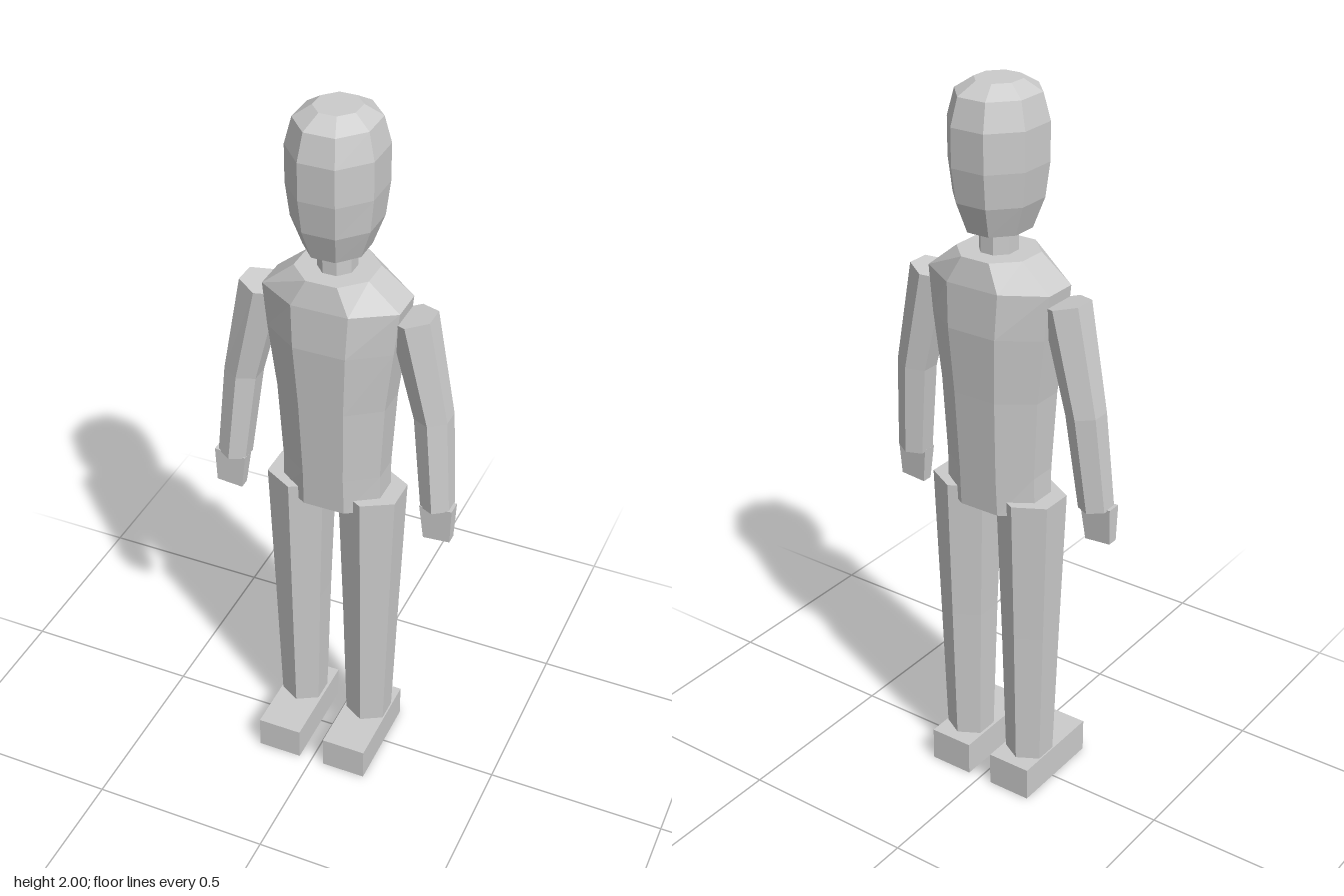
import * as THREE from 'three';

const material = new THREE.MeshStandardMaterial({ color: 0xcccccc, flatShading: true });

// Closed loft through n-sided rings listed bottom to top, with flat faces towards +x and -x.
// Ring: { y, rx, rz, x, z, tilt }, where rx and rz are half sizes to the flats
// and tilt raises the ring along x.
function loft(name, n, rings) {
  const loops = rings.map(({ y, rx, rz, x = 0, z = -0.03, tilt = 0 }) => {
    const points = [];
    for (let i = 0; i < n; i++) {
      const a = ((2 * i + 1) * Math.PI) / n;
      const k = 1 / Math.cos(Math.PI / n);
      const dx = Math.cos(a) * rx * k;
      points.push([x + dx, y + tilt * dx, z + Math.sin(a) * rz * k]);
    }
    return { points, centre: [x, y, z] };
  });
  const out = [];
  const tri = (a, b, c) => out.push(...a, ...b, ...c);
  const bottom = loops[0];
  const top = loops[loops.length - 1];
  for (let i = 0; i < n; i++) {
    const j = (i + 1) % n;
    for (let r = 0; r + 1 < loops.length; r++) {
      const lo = loops[r].points;
      const hi = loops[r + 1].points;
      tri(lo[i], hi[i], lo[j]);
      tri(hi[i], hi[j], lo[j]);
    }
    tri(bottom.centre, bottom.points[i], bottom.points[j]);
    tri(top.centre, top.points[j], top.points[i]);
  }
  const geometry = new THREE.BufferGeometry();
  geometry.setAttribute('position', new THREE.Float32BufferAttribute(out, 3));
  geometry.computeVertexNormals();
  const mesh = new THREE.Mesh(geometry, material);
  mesh.name = name;
  return mesh;
}

// Arm: hexagonal upper arm and forearm with a thin tapered hand
function createArm(side) {
  const arm = new THREE.Group();
  arm.name = side > 0 ? 'leftArm' : 'rightArm';
  const shoulder = { y: 1.473, rx: 0.054, rz: 0.054, x: side * 0.203, tilt: side * 0.2 };
  const elbow = { y: 1.19, rx: 0.045, rz: 0.045, x: side * 0.267, tilt: side * 0.13 };
  const wrist = { y: 0.925, rx: 0.04, rz: 0.04, x: side * 0.293, z: -0.013, tilt: side * 0.1 };
  arm.add(
    loft('upperArm', 6, [elbow, shoulder]),
    loft('forearm', 6, [wrist, elbow]),
    loft('hand', 4, [
      { y: 0.827, rx: 0.037, rz: 0.015, x: side * 0.302, z: -0.002, tilt: side * 0.08 },
      { y: 0.93, rx: 0.045, rz: 0.02, x: side * 0.297, z: -0.005, tilt: side * 0.08 },
    ]),
  );
  return arm;
}

// Leg: hexagonal thigh and shin on a block foot
function createLeg(side) {
  const leg = new THREE.Group();
  leg.name = side > 0 ? 'leftLeg' : 'rightLeg';
  const hip = { y: 0.91, rx: 0.081, rz: 0.079, x: side * 0.103 };
  const knee = { y: 0.5, rx: 0.068, rz: 0.067, x: side * 0.103 };
  const ankle = { y: 0.09, rx: 0.057, rz: 0.056, x: side * 0.102 };
  const foot = new THREE.Mesh(new THREE.BoxGeometry(0.126, 0.096, 0.283), material);
  foot.name = 'foot';
  foot.position.set(side * 0.1, 0.048, 0.014);
  leg.add(loft('thigh', 6, [knee, hip]), loft('shin', 6, [ankle, knee]), foot);
  return leg;
}

export function createModel() {
  const model = new THREE.Group();
  model.name = 'mannequin';

  // Octagonal head, neck and body
  model.add(
    loft('head', 8, [
      { y: 1.63, rx: 0.077, rz: 0.087 },
      { y: 1.71, rx: 0.105, rz: 0.115 },
      { y: 1.8, rx: 0.115, rz: 0.127 },
      { y: 1.9, rx: 0.115, rz: 0.128 },
      { y: 1.97, rx: 0.098, rz: 0.109 },
      { y: 2.0, rx: 0.055, rz: 0.06 },
    ]),
    loft('neck', 8, [
      { y: 1.55, rx: 0.046, rz: 0.05 },
      { y: 1.65, rx: 0.046, rz: 0.05 },
    ]),
    loft('torso', 8, [
      { y: 0.98, rx: 0.138, rz: 0.096 },
      { y: 1.2, rx: 0.15, rz: 0.108 },
      { y: 1.38, rx: 0.172, rz: 0.119 },
      { y: 1.5, rx: 0.185, rz: 0.114 },
      { y: 1.57, rx: 0.1, rz: 0.1 },
    ]),
    loft('pelvis', 8, [
      { y: 0.87, rx: 0.14, rz: 0.09 },
      { y: 0.98, rx: 0.138, rz: 0.096 },
    ]),
  );

  for (const side of [1, -1]) model.add(createArm(side), createLeg(side));
  return model;
}
